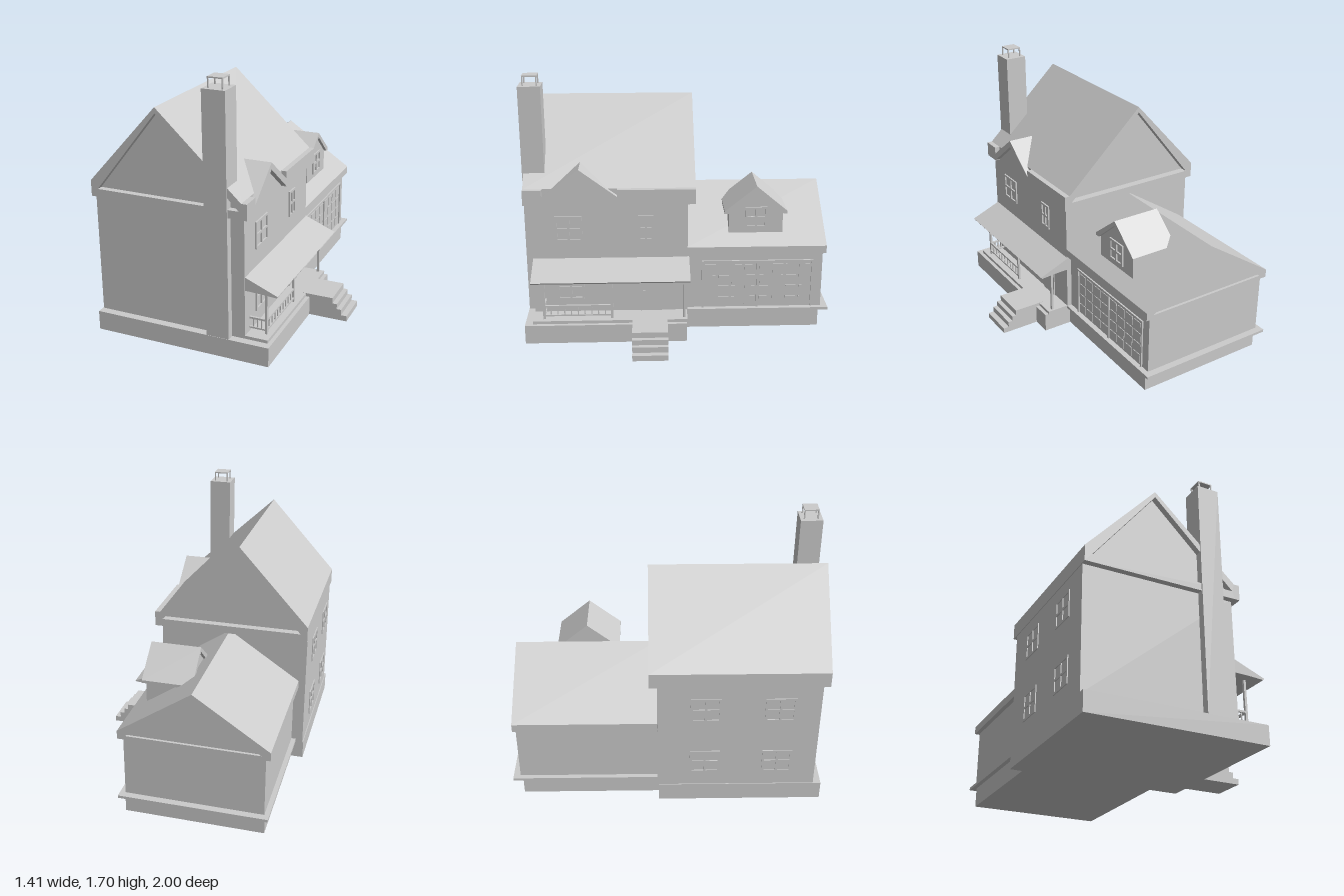
import * as THREE from 'three';

const material = new THREE.MeshStandardMaterial({ color: 0xcccccc, flatShading: true, side: THREE.DoubleSide });

export function createModel() {
  const house = new THREE.Group();
  house.name = 'house';

  const add = (name, geometry) => {
    const mesh = new THREE.Mesh(geometry, material);
    mesh.name = name;
    house.add(mesh);
    return mesh;
  };
  // Box given by its limits on each axis
  const box = (name, x0, x1, y0, y1, z0, z1) => {
    const mesh = add(name, new THREE.BoxGeometry(x1 - x0, y1 - y0, z1 - z0));
    mesh.position.set((x0 + x1) / 2, (y0 + y1) / 2, (z0 + z1) / 2);
    return mesh;
  };
  const toShape = (pts) => new THREE.Shape(pts.map(([u, v]) => new THREE.Vector2(u, v)));
  // Profile of [x, y] points drawn out along z
  const prismZ = (name, pts, z0, z1, hole) => {
    const shape = toShape(pts);
    if (hole) shape.holes.push(toShape(hole));
    const geo = new THREE.ExtrudeGeometry(shape, { depth: z1 - z0, bevelEnabled: false });
    return add(name, geo.translate(0, 0, z0));
  };
  // Profile of [z, y] points drawn out along x
  const prismX = (name, pts, x0, x1) => {
    const shape = toShape(pts.map(([z, y]) => [-z, y]));
    const geo = new THREE.ExtrudeGeometry(shape, { depth: x1 - x0, bevelEnabled: false });
    return add(name, geo.rotateY(Math.PI / 2).translate(x0, 0, 0));
  };
  // Four-pane window on a wall facing along x
  const windowFrame = (wallX, side, z, y, w, h) => {
    const a = wallX - 0.004, b = wallX + side * 0.01;
    const x0 = Math.min(a, b), x1 = Math.max(a, b);
    const t = 0.014;
    for (const k of [-1, 0, 1]) {
      const zc = z + k * (w - t) / 2, yc = y + k * (h - t) / 2;
      box('windowUpright', x0, x1, y - h / 2, y + h / 2, zc - t / 2, zc + t / 2);
      box('windowRail', x0, x1, yc - t / 2, yc + t / 2, z - w / 2, z + w / 2);
    }
  };

  // Main house
  box('mainFoundation', -0.70, 0.455, 0, 0.125, -0.05, 1.0);
  box('mainWalls', -0.695, 0.285, 0.12, 0.92, -0.06, 0.95);
  const mainGable = [[-0.655, 0.95], [0.27, 0.95], [-0.245, 1.463]];
  prismZ('mainRoof', [[-0.70, 0.9], [0.285, 0.9], [0.285, 1.0], [-0.245, 1.5], [-0.70, 1.0]],
    -0.11, 0.99, mainGable);
  prismZ('mainGableWall', mainGable, -0.06, 0.95);
  box('frontEave', 0.28, 0.32, 0.9, 1.0, 0.87, 0.99);
  box('rearEave', 0.28, 0.32, 0.9, 1.0, -0.11, 0.39);

  // Cross gable above the porch
  prismX('crossGableRoof', [[0.385, 0.9], [0.63, 1.09], [0.875, 0.9], [0.875, 0.95],
    [0.63, 1.135], [0.385, 0.95]], 0.13, 0.32);
  prismX('crossGableWall', [[0.39, 0.9], [0.87, 0.9], [0.63, 1.095]], 0.1, 0.285);

  // Chimney with an open cap
  box('chimney', 0.055, 0.2, 0.125, 1.64, 0.855, 0.998);
  for (const x of [0.08, 0.167])
    for (const z of [0.877, 0.964]) box('capPost', x, x + 0.008, 1.64, 1.7, z, z + 0.008);
  box('capTop', 0.08, 0.175, 1.696, 1.704, 0.877, 0.972);

  // Windows of the main house
  for (const y of [0.728, 0.32]) {
    windowFrame(0.285, 1, 0.708, y, 0.175, 0.172);
    for (const z of [0.24, 0.70]) windowFrame(-0.695, -1, z, y, 0.19, 0.172);
  }
  windowFrame(0.285, 1, 0.21, 0.728, 0.1, 0.172);

  // Front door
  box('frontDoor', 0.28, 0.292, 0.145, 0.41, 0.11, 0.25);
  box('doorKnob', 0.29, 0.305, 0.282, 0.29, 0.217, 0.235);

  // Porch
  box('porchFloor', 0.28, 0.43, 0.12, 0.145, -0.055, 0.95);
  prismZ('porchRoof', [[0.28, 0.44], [0.38, 0.437], [0.483, 0.43], [0.49, 0.44], [0.28, 0.527]], -0.07, 0.945);
  for (const z of [-0.035, 0.437, 0.877])
    box('porchPost', 0.385, 0.4, 0.145, 0.44, z - 0.008, z + 0.008);
  for (const [y0, y1] of [[0.165, 0.175], [0.228, 0.24]]) {
    box('frontRail', 0.386, 0.399, y0, y1, 0.437, 0.877);
    box('sideRail', 0.285, 0.392, y0, y1, 0.87, 0.884);
  }
  for (let i = 1; i < 10; i++) {
    const z = 0.437 + i * 0.044;
    box('frontBaluster', 0.389, 0.396, 0.17, 0.235, z - 0.0035, z + 0.0035);
  }
  for (const x of [0.31, 0.335, 0.36])
    box('sideBaluster', x - 0.0035, x + 0.0035, 0.17, 0.235, 0.873, 0.88);

  // Porch landing and steps
  prismZ('steps', [[0.4, 0], [0.71, 0], [0.71, 0.037], [0.672, 0.037], [0.672, 0.075],
    [0.642, 0.075], [0.642, 0.11], [0.612, 0.11], [0.612, 0.147], [0.4, 0.147]], 0.077, 0.305);

  // Garage wing
  box('garageFoundation', -0.62, 0.26, 0, 0.13, -0.94, -0.04);
  box('garageLedge', -0.65, 0.287, 0.128, 0.145, -1.0, -0.055);
  box('garageWalls', -0.62, 0.252, 0.14, 0.54, -0.955, -0.055);
  const garageGable = [[-0.595, 0.56], [0.235, 0.56], [-0.18, 0.87]];
  prismZ('garageRoof', [[-0.65, 0.535], [0.285, 0.535], [0.285, 0.588], [-0.18, 0.9], [-0.65, 0.588]],
    -0.972, -0.055, garageGable);
  prismZ('garageGableWall', garageGable, -0.955, -0.055);

  // Garage doors: a frame with two panelled leaves
  box('doorHead', 0.25, 0.262, 0.468, 0.48, -0.895, -0.155);
  for (const z of [-0.895, -0.531, -0.167])
    box('doorJamb', 0.25, 0.262, 0.145, 0.48, z, z + 0.012);
  for (let row = 0; row < 4; row++)
    for (let col = 0; col < 8; col++) {
      const z = -0.872 + col * 0.0875 + (col > 3 ? 0.012 : 0);
      const y = 0.16 + row * 0.077;
      box('doorPanel', 0.25, 0.256, y, y + 0.06, z, z + 0.07);
    }

  // Garage dormer
  prismX('dormerWalls', [[-0.69, 0.64], [-0.335, 0.64], [-0.335, 0.81], [-0.513, 0.955], [-0.69, 0.81]], -0.09, 0.19);
  prismX('dormerRoof', [[-0.715, 0.79], [-0.69, 0.79], [-0.513, 0.945], [-0.335, 0.79], [-0.305, 0.79],
    [-0.305, 0.808], [-0.513, 0.977], [-0.715, 0.808]], -0.11, 0.21);
  windowFrame(0.19, 1, -0.513, 0.758, 0.145, 0.145);

  return house;
}
